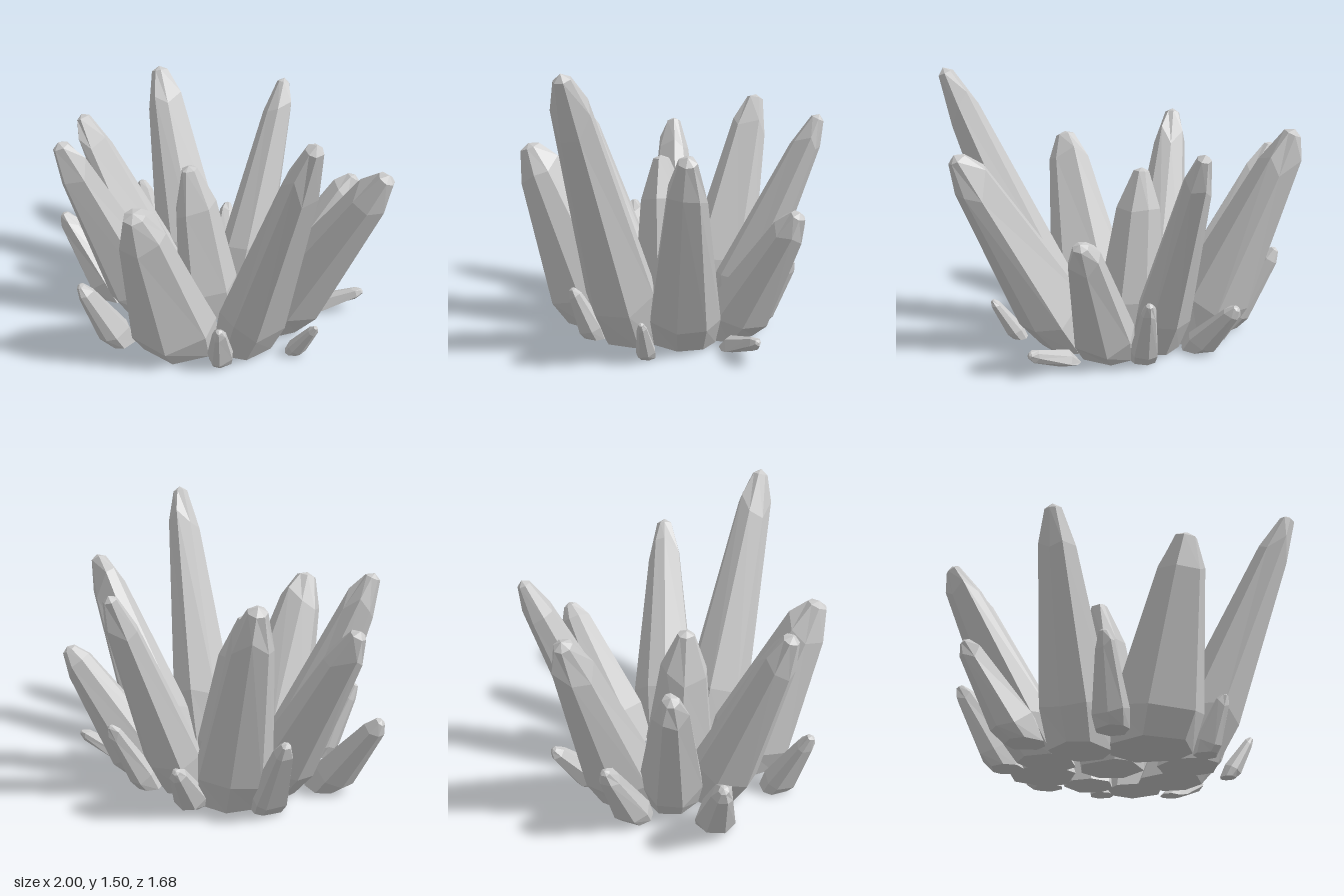
import * as THREE from 'three';

const SIDES = 7;
const UP = new THREE.Vector3(0, 1, 0);
const material = new THREE.MeshStandardMaterial({ color: 0xcccccc, flatShading: true });

// Small seeded generator for slightly uneven facets
function seeded(seed) {
  let s = seed * 7919 + 17;
  return () => {
    s = (s * 16807) % 2147483647;
    return s / 2147483647;
  };
}

// One crystal: flat foot on the ground, belly, tapering shaft, blunt faceted point
function crystal(name, [bx, bz], [tx, ty, tz], radius, seed, shoulderAt = 0.85, shoulderWidth = 0.54) {
  const rnd = seeded(seed);
  rnd(); rnd();
  const base = new THREE.Vector3(bx, 0, bz);
  const tip = new THREE.Vector3(tx, ty, tz);
  const axis = tip.clone().sub(base);
  const lean = new THREE.Quaternion().setFromUnitVectors(UP, axis.clone().normalize());
  const turn = rnd() * Math.PI * 2;
  const angles = [], uneven = [];
  for (let i = 0; i < SIDES; i++) {
    angles.push(turn + (i + (rnd() - 0.5) * 0.45) / SIDES * Math.PI * 2);
    uneven.push((rnd() - 0.5) * 0.1);
  }

  // Cross-sections: position along axis, relative radius, share of the lean, unevenness
  const sections = [
    [0, 0.93, 0, 0],
    [0.19, 1.04, 0.75, 0.5],
    [shoulderAt, shoulderWidth, 1, 1],
    [0.98, 0.25, 1, 0],
  ];
  const rings = sections.map(([t, r, share, vary], k) => {
    const q = new THREE.Quaternion().slerp(lean, share);
    return angles.map((a, i) => {
      const p = new THREE.Vector3(Math.cos(a), 0, Math.sin(a)).multiplyScalar(radius * r);
      p.applyQuaternion(q).addScaledVector(axis, t + vary * uneven[i]).add(base);
      if (k > 0) p.y = Math.max(p.y, 0.015);
      return p;
    });
  });

  const points = [];
  const tri = (a, b, c) => points.push(a, b, c);
  for (let i = 0; i < SIDES; i++) {
    const j = (i + 1) % SIDES;
    for (let k = 0; k < rings.length - 1; k++) {
      const lo = rings[k], hi = rings[k + 1];
      tri(lo[i], hi[i], hi[j]);
      tri(lo[i], hi[j], lo[j]);
    }
    tri(base, rings[0][i], rings[0][j]);
    tri(tip, rings[3][j], rings[3][i]);
  }
  const geometry = new THREE.BufferGeometry().setFromPoints(points);
  geometry.computeVertexNormals();
  const mesh = new THREE.Mesh(geometry, material);
  mesh.name = name;
  return mesh;
}

export function createModel() {
  const group = new THREE.Group();
  group.name = 'crystalCluster';

  // name, foot (x, z), point (x, y, z), radius
  const crystals = [
    // Large crystals in a ring, leaning outward
    ['frontCrystal', [-0.02, 0.38], [-0.01, 1.03, 0.785], 0.235],
    ['frontLeftCrystal', [0.29, 0.21], [0.83, 1.5, 0.53], 0.18],
    ['leftCrystal', [0.33, -0.06], [0.97, 1.13, -0.05], 0.19],
    ['backLeftCrystal', [0.23, -0.3], [0.55, 0.76, -0.64], 0.165],
    ['backCrystal', [-0.04, -0.32], [-0.03, 1.18, -0.83], 0.15],
    ['backRightCrystal', [-0.33, -0.27], [-0.76, 1.2, -0.56], 0.2],
    ['rightCrystal', [-0.4, -0.04], [-0.98, 1.02, -0.05], 0.17],
    ['frontRightCrystal', [-0.32, 0.2], [-0.65, 1.16, 0.55], 0.175],
    // Small shards around the rim
    ['rightShard', [-0.61, 0.19], [-0.96, 0.48, 0.21], 0.11],
    ['frontRightShard', [-0.31, 0.55], [-0.44, 0.43, 0.72], 0.09],
    ['frontLeftShard', [0.27, 0.42], [0.33, 0.3, 0.54], 0.07],
    ['leftShard', [0.57, 0.14], [0.72, 0.24, 0.17], 0.05],
    ['backLeftShard', [0.46, -0.3], [0.74, 0.14, -0.42], 0.065],
    ['backShard', [0.1, -0.46], [0.18, 0.4, -0.67], 0.075],
    ['backRightShard', [-0.23, -0.45], [-0.34, 0.3, -0.69], 0.085],
    ['farRightShard', [-0.55, -0.23], [-0.8, 0.48, -0.38], 0.1],
  ];
  crystals.forEach(([name, foot, point, r], i) => group.add(crystal(name, foot, point, r, i + 1)));

  // Upright middle crystal with a broad, low shoulder
  group.add(crystal('centreCrystal', [-0.06, 0.01], [-0.16, 0.93, 0.05], 0.185, 20, 0.74, 0.7));
  return group;
}
